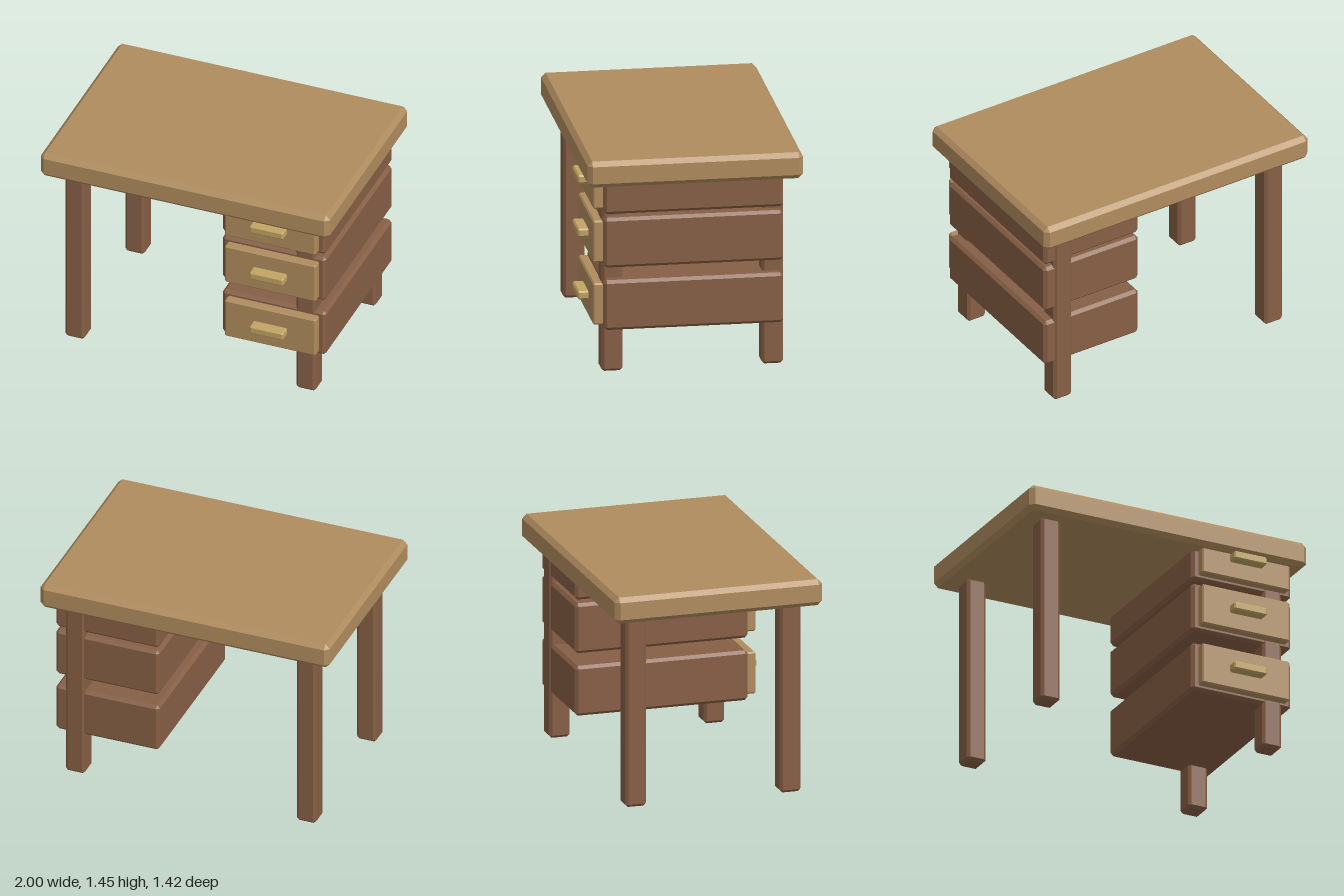
import * as THREE from 'three';
import { ConvexGeometry } from 'three/addons/geometries/ConvexGeometry.js';

const topWood = new THREE.MeshStandardMaterial({ name: 'light wood', color: 0xb08c5e });
const darkWood = new THREE.MeshStandardMaterial({ name: 'dark wood', color: 0x875f45 });
const brass = new THREE.MeshStandardMaterial({ name: 'brass', color: 0xc1a463 });

// Box between two corners with every edge cut at 45 degrees by c
function chamferBox(name, material, [x0, y0, z0], [x1, y1, z1], c) {
  const half = [(x1 - x0) / 2, (y1 - y0) / 2, (z1 - z0) / 2];
  const points = [];
  for (const sx of [-1, 1]) for (const sy of [-1, 1]) for (const sz of [-1, 1]) {
    for (let axis = 0; axis < 3; axis++) {
      const [x, y, z] = half.map((h, i) => (i === axis ? h : h - c));
      points.push(new THREE.Vector3(sx * x, sy * y, sz * z));
    }
  }
  const mesh = new THREE.Mesh(new ConvexGeometry(points), material);
  mesh.name = name;
  mesh.position.set((x0 + x1) / 2, (y0 + y1) / 2, (z0 + z1) / 2);
  return mesh;
}

export function createModel() {
  const desk = new THREE.Group();
  desk.name = 'desk';

  // Thick bevelled top
  desk.add(chamferBox('deskTop', topWood, [-1, 1.275, -0.71], [1, 1.45, 0.69], 0.03));

  // Four square legs
  for (const [side, x] of [['right', -0.8], ['left', 0.798]]) {
    for (const [end, z] of [['Front', 0.513], ['Back', -0.53]]) {
      desk.add(chamferBox(side + end + 'Leg', darkWood,
        [x - 0.068, 0, z - 0.07], [x + 0.068, 1.285, z + 0.07], 0.018));
    }
  }

  // Stack of three drawers on the left, the highest running up into the top
  [0.295, 0.715, 1.075].forEach((y, i) => {
    const drawer = new THREE.Group();
    drawer.name = ['lower', 'middle', 'upper'][i] + 'Drawer';
    const frontY = y + 0.029;
    const handleY = frontY + 0.113;
    drawer.add(
      chamferBox('drawerBox', darkWood, [0.22, y, -0.59], [0.935, y + 0.335, 0.577], 0.02),
      chamferBox('drawerFront', topWood, [0.262, frontY, 0.575], [0.893, frontY + 0.28, 0.642], 0.01),
      chamferBox('drawerHandle', brass, [0.459, handleY, 0.63], [0.695, handleY + 0.056, 0.711], 0.01),
    );
    desk.add(drawer);
  });

  return desk;
}
